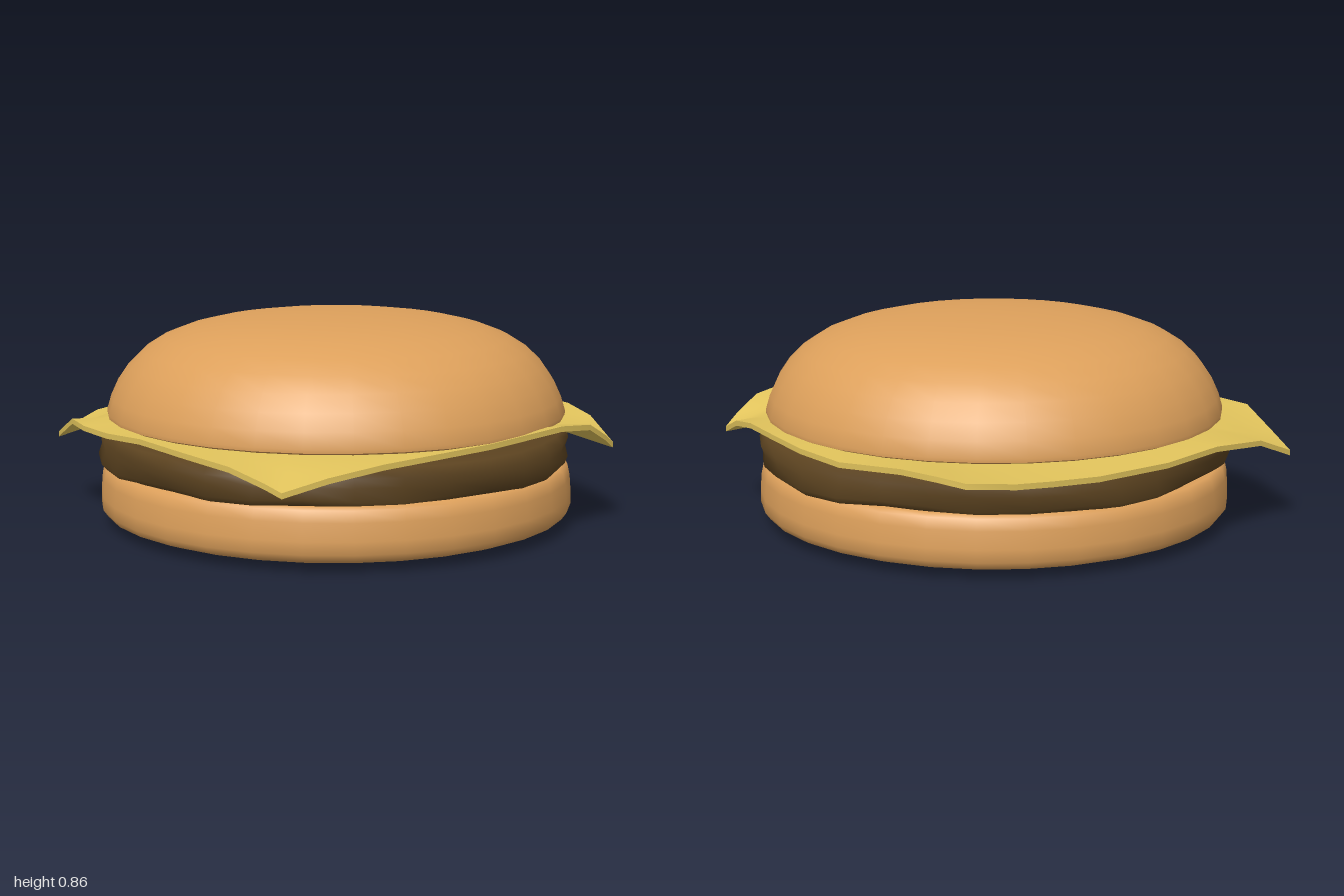
import * as THREE from 'three';
import { mergeVertices, toCreasedNormals } from 'three/addons/utils/BufferGeometryUtils.js';

const SIDES = 32;

function lathe(profile) {
  return new THREE.LatheGeometry(profile.map(([r, y]) => new THREE.Vector2(r, y)), SIDES);
}

function part(name, geometry, color, doubleSided = false) {
  const side = doubleSided ? THREE.DoubleSide : THREE.FrontSide;
  const mesh = new THREE.Mesh(geometry, new THREE.MeshStandardMaterial({ color, side }));
  mesh.name = name;
  return mesh;
}

// Patty: a turned disc whose rim is pushed in and out and whose lower edge ripples
function pattyGeometry() {
  const g = lathe([[0, 0.25], [0.6, 0.25], [0.86, 0.245], [0.94, 0.25], [0.975, 0.28],
    [0.965, 0.325], [0.975, 0.36], [0.95, 0.395], [0.86, 0.408], [0.5, 0.41], [0, 0.41]]);
  const p = g.attributes.position;
  for (let i = 0; i < p.count; i++) {
    const x = p.getX(i), y = p.getY(i), z = p.getZ(i);
    const a = Math.atan2(x, z);
    const rim = THREE.MathUtils.smoothstep(Math.hypot(x, z), 0.6, 0.93);
    const low = THREE.MathUtils.clamp((0.34 - y) / 0.09, 0, 1);
    const s = 1 + rim * (0.012 * Math.sin(5 * a + 1 + y * 14) + 0.012 * Math.cos(2 * a + 0.3));
    const dip = rim * low * (0.012 * Math.sin(9 * a + 0.6) + 0.006 * Math.sin(4 * a) - 0.004);
    p.setXYZ(i, x * s, y + dip, z * s);
  }
  g.deleteAttribute('uv');
  g.deleteAttribute('normal');
  const merged = mergeVertices(g, 1e-4);
  merged.computeVertexNormals();
  return merged;
}

// Cheese: a thin square slice, flat inside, with drooping corners
function cheeseGeometry() {
  // rim points [x, y, z] going round from the front
  const rim = [
    [0, 0.44, 0.96], [0.3, 0.435, 0.96], [0.58, 0.425, 0.94], [0.76, 0.39, 0.91],
    [0.85, 0.37, 0.9], [0.9, 0.41, 0.73], [0.93, 0.435, 0.5], [0.95, 0.445, 0.3],
    [0.96, 0.455, 0], [0.93, 0.472, -0.4], [0.89, 0.45, -0.6], [0.86, 0.39, -0.72],
    [0.83, 0.345, -0.8], [0.62, 0.42, -0.88], [0.45, 0.445, -0.92], [0.2, 0.445, -0.97],
    [0, 0.435, -0.99], [-0.25, 0.43, -0.99], [-0.57, 0.46, -0.95], [-0.76, 0.465, -0.93],
    [-0.85, 0.45, -0.88], [-0.92, 0.43, -0.7], [-0.95, 0.42, -0.55], [-0.985, 0.41, -0.35],
    [-1, 0.405, 0], [-0.98, 0.415, 0.3], [-0.95, 0.385, 0.6], [-0.94, 0.31, 0.8],
    [-0.8, 0.36, 0.85], [-0.6, 0.43, 0.92], [-0.45, 0.425, 0.95], [-0.25, 0.425, 0.96],
  ];
  const n = rim.length, thick = 0.022, flat = 0.438;
  // rings [scale, drop]: along the underside, then back over the top
  const scales = [0, 0.45, 0.74, 0.87, 1];
  const rings = [...scales.map(k => [k, thick]), ...scales.slice().reverse().map(k => [k, 0])];
  const pos = [], index = [];
  rings.forEach(([k, drop], j) => {
    const bend = THREE.MathUtils.clamp((k - 0.74) / 0.26, 0, 1);
    rim.forEach(([x, y, z], i) => {
      pos.push(x * k, flat + (y - flat) * bend - drop, z * k);
      if (j === rings.length - 1) return;
      const a = j * n + i, b = j * n + (i + 1) % n;
      if (k > 0) index.push(a, b, a + n);
      if (rings[j + 1][0] > 0) index.push(b, b + n, a + n);
    });
  });
  const g = new THREE.BufferGeometry();
  g.setAttribute('position', new THREE.Float32BufferAttribute(pos, 3));
  g.setIndex(index);
  return toCreasedNormals(g, 0.7);
}

export function createModel() {
  const model = new THREE.Group();
  model.name = 'cheeseburger';
  const bun = 0xdda05b;

  const bottom = lathe([[0, 0.005], [0.5, 0.01], [0.8, 0.018], [0.91, 0.032], [0.965, 0.052],
    [0.985, 0.08], [0.984, 0.13], [0.978, 0.2], [0.968, 0.245], [0.95, 0.257], [0, 0.257]]);
  model.add(part('bottomBun', toCreasedNormals(bottom, 0.9), bun));

  model.add(part('patty', pattyGeometry(), 0x5c4320));
  model.add(part('cheeseSlice', cheeseGeometry(), 0xe2c45c, true));

  const top = lathe([[0, 0.446], [0.93, 0.446], [0.952, 0.455], [0.953, 0.47], [0.935, 0.53],
    [0.905, 0.595], [0.86, 0.66], [0.8, 0.718], [0.72, 0.768], [0.62, 0.806], [0.5, 0.834],
    [0.36, 0.853], [0.18, 0.865], [0, 0.868]]);
  model.add(part('topBun', toCreasedNormals(top, 0.9), bun));

  return model;
}
